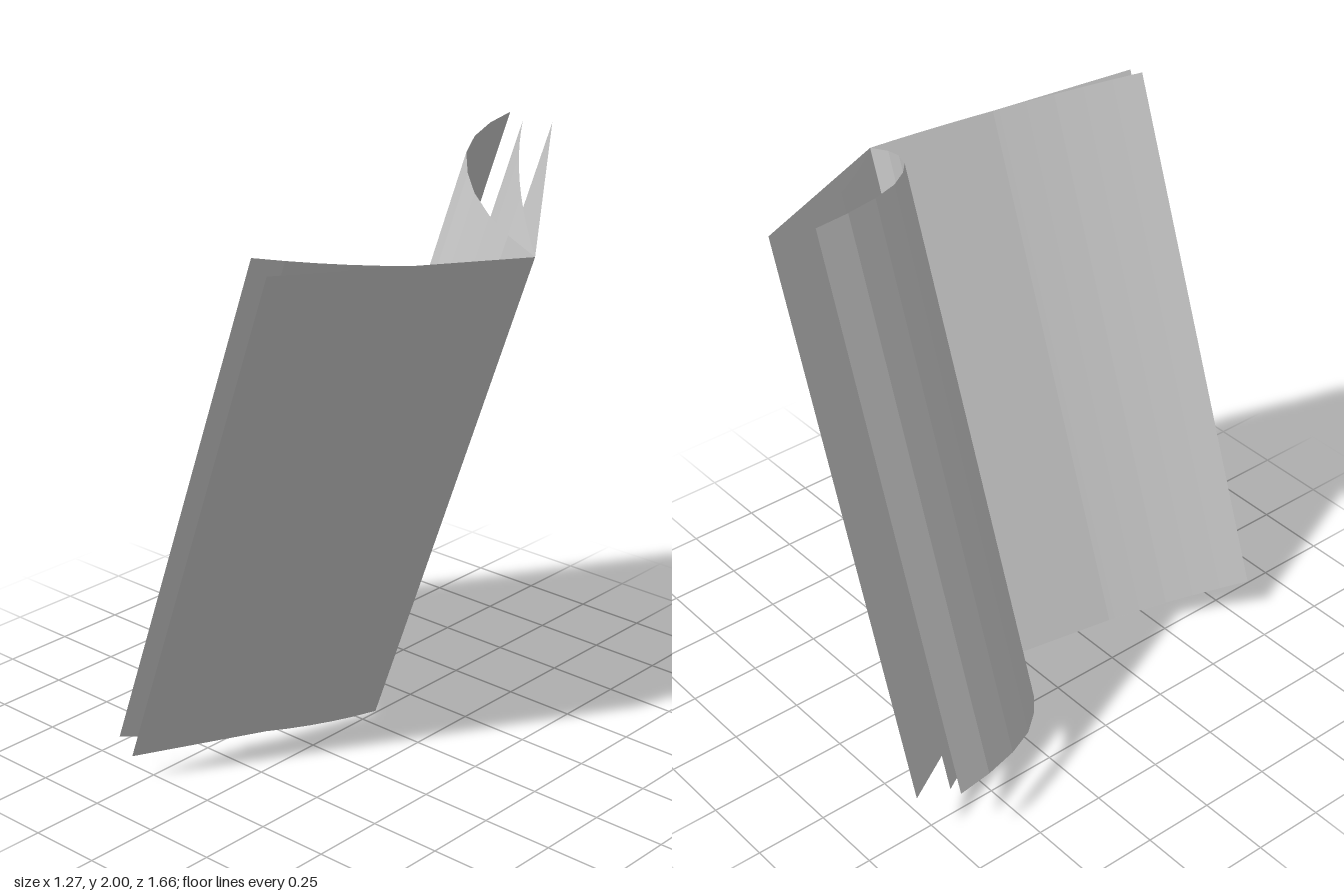
import * as THREE from 'three';

const HEIGHT = 1.88;   // length of the spine
const SPINE_Z = -0.075;
const material = new THREE.MeshStandardMaterial({
  color: 0xcccccc, side: THREE.DoubleSide, flatShading: true,
});

// Thin sheet: a profile of (distance from spine, z) points swept along the spine
function sheet(name, profile) {
  const geometry = new THREE.PlaneGeometry(1, 1, profile.length - 1, 1);
  const pos = geometry.attributes.position;
  for (let i = 0; i < pos.count; i++) {
    const p = profile[i % profile.length];
    pos.setXYZ(i, -p.x, i < profile.length ? HEIGHT : 0, p.y);
  }
  geometry.computeVertexNormals();
  const mesh = new THREE.Mesh(geometry, material);
  mesh.name = name;
  return mesh;
}

const v = (s, z) => new THREE.Vector2(s, z);
const spine = v(0, SPINE_Z);

// Gently bent page profile
const bent = (control, end) => new THREE.QuadraticBezierCurve(spine, control, end).getPoints(10);

export function createModel() {
  const model = new THREE.Group();
  const book = new THREE.Group();
  book.name = 'openBook';

  // Flat covers hinged on the spine
  book.add(sheet('frontCover', [spine, v(0.275, 0.826)]));
  book.add(sheet('backCover', [spine, v(0.56, -0.83)]));

  // Pages, from nearly flat to strongly curled
  book.add(sheet('frontPage', bent(v(0.087, 0.362), v(0.367, 0.8))));
  book.add(sheet('backPage', bent(v(0.36, -0.375), v(0.612, -0.733))));
  book.add(sheet('curledPage', [
    spine, v(0.124, -0.088), v(0.231, -0.12), v(0.348, -0.18), v(0.444, -0.255),
    v(0.539, -0.355), v(0.603, -0.47), v(0.646, -0.6), v(0.67, -0.733),
  ]));

  // The whole book leans sideways on the foot of its spine
  book.rotation.z = THREE.MathUtils.degToRad(-20);
  book.position.set(-0.008, 0.003, 0);
  model.add(book);
  return model;
}
